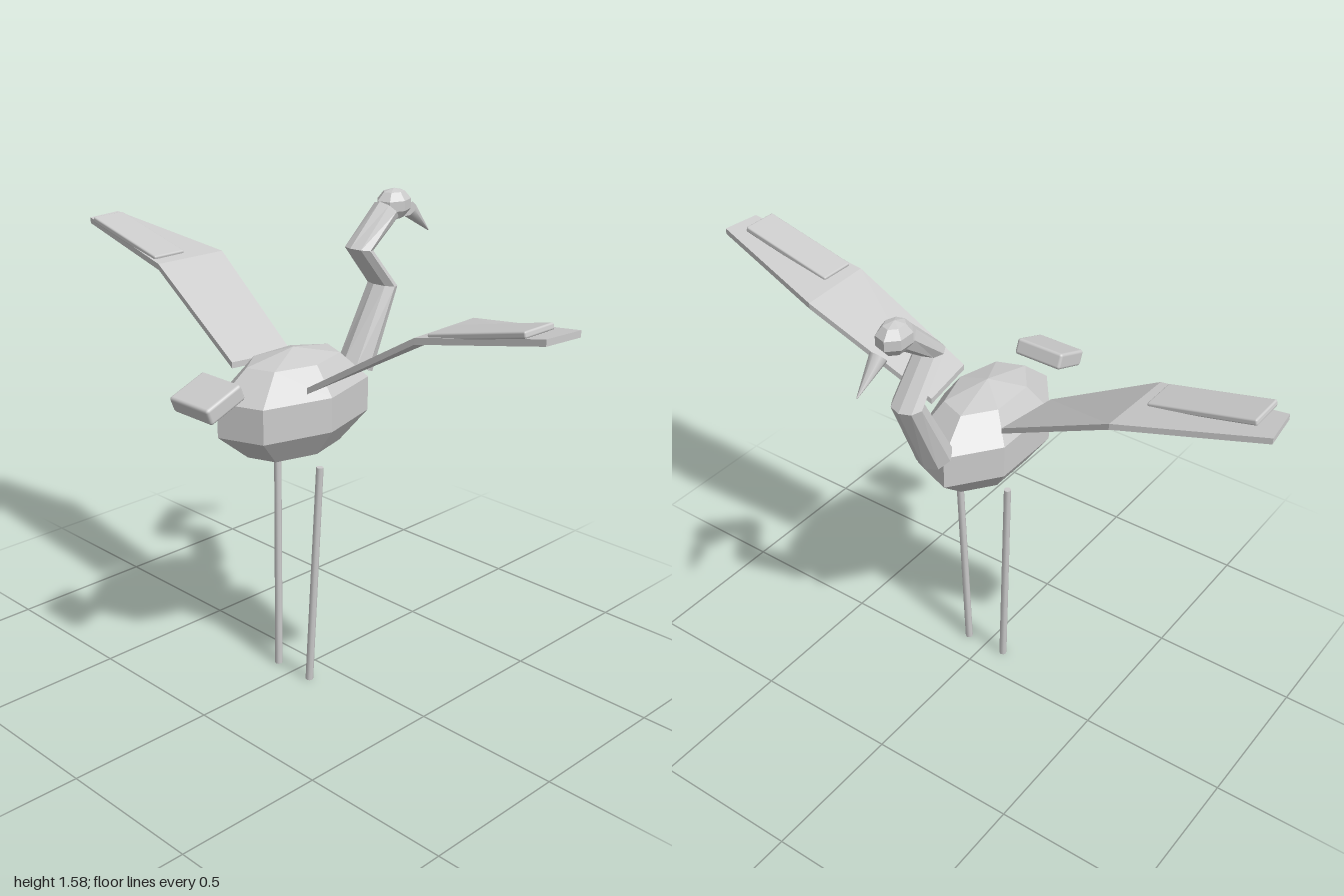
import * as THREE from 'three';
import { RoundedBoxGeometry } from 'three/addons/geometries/RoundedBoxGeometry.js';

const flat = new THREE.MeshStandardMaterial({ color: 0xcccccc, flatShading: true });
const smooth = new THREE.MeshStandardMaterial({ color: 0xcccccc });

function part(group, name, geometry, material = flat) {
  const mesh = new THREE.Mesh(geometry, material);
  mesh.name = name;
  group.add(mesh);
  return mesh;
}

// Closed skin through equal-length rings of [x, y, z] points, capped at both ends
function loft(rings) {
  const pos = [];
  const tri = (a, b, c) => pos.push(...a, ...b, ...c);
  const n = rings[0].length;
  for (let r = 0; r < rings.length - 1; r++) {
    const a = rings[r], b = rings[r + 1];
    for (let i = 0; i < n; i++) {
      const j = (i + 1) % n;
      tri(a[i], a[j], b[j]);
      tri(a[i], b[j], b[i]);
    }
  }
  const first = rings[0], last = rings[rings.length - 1];
  for (let i = 1; i < n - 1; i++) {
    tri(first[0], first[i + 1], first[i]);
    tri(last[0], last[i], last[i + 1]);
  }
  const g = new THREE.BufferGeometry();
  g.setAttribute('position', new THREE.Float32BufferAttribute(pos, 3));
  g.computeVertexNormals();
  return g;
}

// Tapered rod between two points
function rod(from, to, r0, r1, sides) {
  const a = new THREE.Vector3(...from), b = new THREE.Vector3(...to);
  const dir = b.clone().sub(a);
  const g = new THREE.CylinderGeometry(r1, r0, dir.length(), sides);
  g.applyQuaternion(new THREE.Quaternion().setFromUnitVectors(
    new THREE.Vector3(0, 1, 0), dir.normalize()));
  const mid = a.add(b).multiplyScalar(0.5);
  return g.translate(mid.x, mid.y, mid.z);
}

// Faceted ellipsoid
function pebble(rx, ry, rz) {
  return new THREE.SphereGeometry(1, 7, 5).rotateY(Math.PI).scale(rx, ry, rz);
}

export function createModel() {
  const bird = new THREE.Group();
  bird.name = 'bird';

  part(bird, 'body', pebble(0.181, 0.182, 0.305)).position.set(0, 0.971, 0.095);

  // Neck: back edge [z, y], front edge [z, y] and half width at each bend
  const bends = [
    [-0.13, 1.05, -0.235, 1.0, 0.06],
    [-0.265, 1.285, -0.35, 1.27, 0.054],
    [-0.155, 1.42, -0.235, 1.407, 0.05],
    [-0.288, 1.55, -0.352, 1.49, 0.045],
  ];
  part(bird, 'neck', loft(bends.map(([z0, y0, z1, y1, w]) =>
    Array.from({ length: 8 }, (_, i) => {
      const t = (i / 8) * Math.PI * 2, k = Math.cos(t) / 2;
      return [Math.sin(t) * w, (y0 + y1) / 2 + k * (y0 - y1), (z0 + z1) / 2 + k * (z0 - z1)];
    }))));

  part(bird, 'head', pebble(0.052, 0.052, 0.067)).position.set(0, 1.533, -0.352);
  part(bird, 'beak', rod([0, 1.505, -0.426], [0, 1.42, -0.525], 0.028, 0.002, 8), smooth);

  const tail = part(bird, 'tail', new RoundedBoxGeometry(0.176, 0.055, 0.145, 2, 0.01), smooth);
  tail.position.set(0, 1.071, 0.447);
  tail.rotation.x = 0.37;

  for (const s of [1, -1]) {
    const side = s > 0 ? 'left' : 'right';

    part(bird, side + 'Leg', rod([s * 0.075, 0.001, 0.1], [s * 0.098, 0.77, 0.074], 0.013, 0.012, 8), smooth);

    // Wing sections: leading x and z, trailing x and z, height
    const sections = [
      [0.135, -0.02, 0.17, 0.2, 1.075],
      [0.555, -0.1, 0.565, 0.168, 1.314],
      [1.0, 0.0, 0.985, 0.13, 1.396],
    ];
    const h = 0.01;
    part(bird, side + 'Wing', loft(sections.map(([xl, zl, xt, zt, y]) => {
      const ring = [
        [s * xl, y + h, zl], [s * xt, y + h, zt],
        [s * xt, y - h, zt], [s * xl, y - h, zl],
      ];
      return s > 0 ? ring : ring.reverse();
    })));

    // Feather panel lying on the outer wing
    const panel = part(bird, side + 'WingFeathers', new RoundedBoxGeometry(0.345, 0.02, 0.125, 2, 0.006), smooth);
    panel.position.set(s * 0.768, 1.371, 0.092);
    panel.rotation.z = s * 0.235;
  }
  return bird;
}
